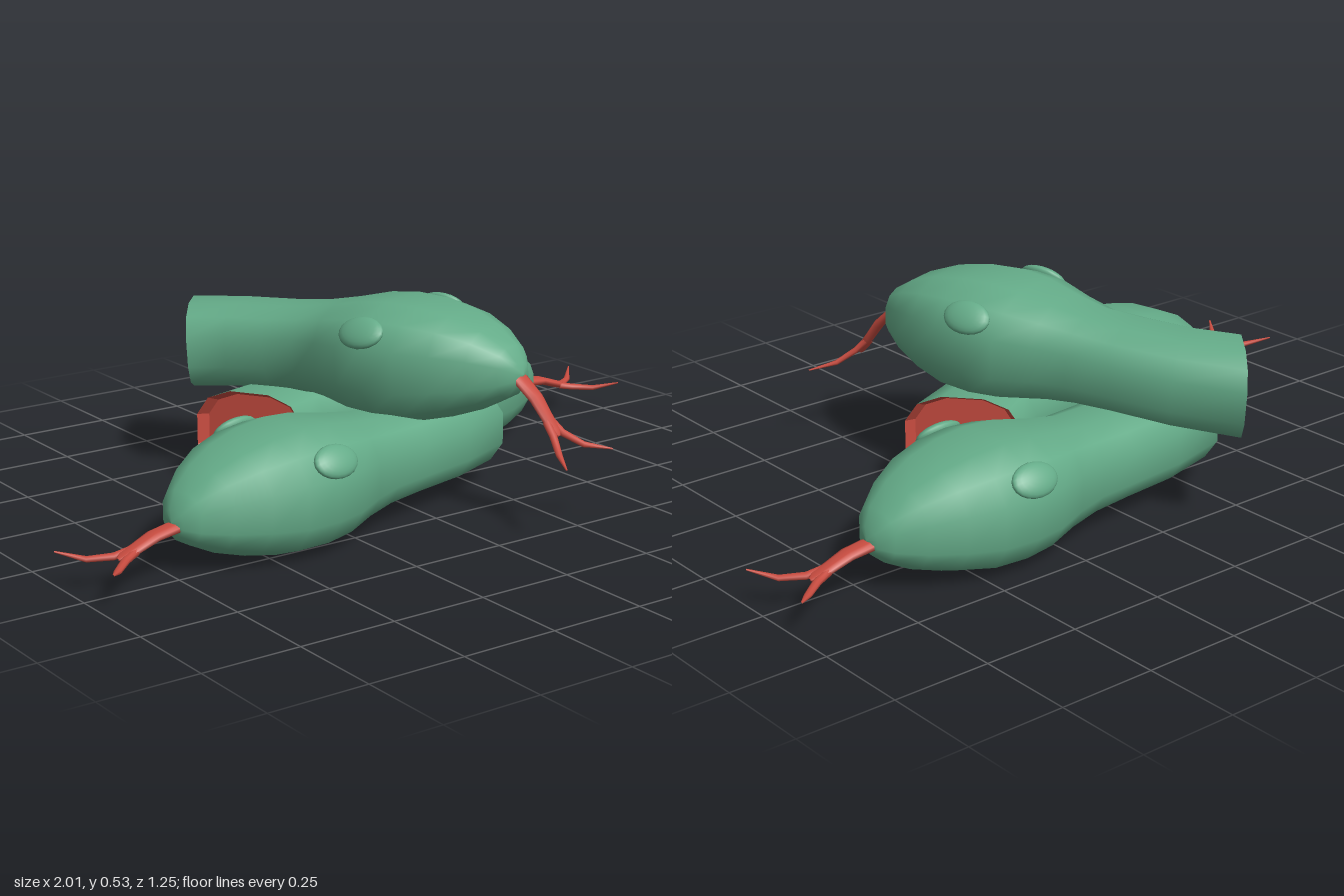
import * as THREE from 'three';

const green = new THREE.MeshStandardMaterial({ color: 0x64ab88 });
green.name = 'snakeGreen';
const red = new THREE.MeshStandardMaterial({ color: 0xc84c40 });
red.name = 'fleshRed';

// Skins cross-sections [x, z, halfWidth, top, bottom, turn] listed along the body
function loft(sections, sides, power) {
  const pos = [], idx = [];
  const bulge = (c) => Math.sign(c) * Math.pow(Math.abs(c), power);
  for (const [x, z, w, top, bottom, turn = 0] of sections) {
    for (let j = 0; j < sides; j++) {
      const t = ((j + 0.5) / sides) * Math.PI * 2;
      const s = w * bulge(Math.cos(t));
      const y = (top + bottom) / 2 + ((top - bottom) / 2) * bulge(Math.sin(t));
      pos.push(x + s * Math.sin(turn), y, z + s * Math.cos(turn));
    }
  }
  for (let i = 0; i < sections.length - 1; i++) {
    for (let j = 0; j < sides; j++) {
      const k = (j + 1) % sides;
      const a = i * sides + j, b = i * sides + k, c = b + sides, d = a + sides;
      idx.push(a, d, c, a, c, b);
    }
  }
  const geo = new THREE.BufferGeometry();
  geo.setAttribute('position', new THREE.Float32BufferAttribute(pos, 3));
  geo.setIndex(idx);
  geo.computeVertexNormals();
  return geo;
}

function part(name, geo, material) {
  const mesh = new THREE.Mesh(geo, material);
  mesh.name = name;
  return mesh;
}

// Neck end to snout tip, with the neck turning to the animal's right
const BODY = [
  [-0.637, 0.071, 0.153, 0.27, 0.04, 0.57],
  [-0.5, 0.028, 0.142, 0.27, 0.043, 0.3],
  [-0.36, 0.012, 0.14, 0.27, 0.045, 0.1],
  [-0.26, 0, 0.136, 0.275, 0.04],
  [-0.17, 0, 0.162, 0.288, 0.03],
  [-0.08, 0, 0.197, 0.305, 0.013],
  [0, 0, 0.205, 0.31, 0.005],
  [0.09, 0, 0.195, 0.302, 0.006],
  [0.18, 0, 0.165, 0.282, 0.024],
  [0.26, 0, 0.12, 0.248, 0.048],
  [0.32, 0, 0.072, 0.205, 0.078],
  [0.345, 0, 0.035, 0.165, 0.105],
  [0.352, 0, 0.001, 0.136, 0.134],
];

// Shallow recessed cut face of the neck
const CUT = [
  [-0.612, 0.055, 0.001, 0.156, 0.154, 0.57],
  [-0.612, 0.055, 0.132, 0.255, 0.056, 0.57],
  [-0.637, 0.071, 0.153, 0.27, 0.04, 0.57],
];

const STEM = [
  [-0.03, 0, 0.028, 0.015, -0.012],
  [0.06, 0, 0.026, 0.003, -0.02],
  [0.11, 0, 0.022, -0.014, -0.036],
  [0.15, 0, 0.022, -0.028, -0.046],
  [0.165, 0, 0.004, -0.036, -0.042],
];

const PRONG = [
  [0.12, 0.01, 0.011, -0.02, -0.04, -0.2],
  [0.16, 0.022, 0.011, -0.03, -0.047, -0.45],
  [0.21, 0.058, 0.009, -0.035, -0.049, -0.75],
  [0.262, 0.11, 0.002, -0.022, -0.026, -0.75],
];

function makeTongue(pitch) {
  const tongue = new THREE.Group();
  tongue.name = 'tongue';
  tongue.add(part('tongueStem', loft(STEM, 8, 0.9), red));
  for (const side of [1, -1]) {
    const path = PRONG.map(([x, z, w, t, b, a]) => [x, z * side, w, t, b, a * side]);
    tongue.add(part(side > 0 ? 'rightProng' : 'leftProng', loft(path, 8, 0.9), red));
  }
  tongue.position.set(0.345, 0.125, 0);
  tongue.rotation.z = pitch;
  return tongue;
}

function makeSnake(name, [x, y, z], turn, pitch, tonguePitch) {
  const snake = new THREE.Group();
  snake.name = name;
  snake.add(part('headAndNeck', loft(BODY, 12, 0.77), green));

  const cut = loft(CUT, 12, 0.77).toNonIndexed();
  cut.computeVertexNormals();
  snake.add(part('neckCut', cut, red));

  // Flattened eyes lying on the upper cheeks
  for (const side of [1, -1]) {
    const eye = part(side > 0 ? 'rightEye' : 'leftEye', new THREE.SphereGeometry(1, 20, 12), green);
    eye.scale.set(0.065, 0.02, 0.044);
    eye.position.set(0, 0.25, 0.183 * side);
    eye.rotation.x = 0.9 * side;
    snake.add(eye);
  }
  snake.add(makeTongue(tonguePitch));

  snake.position.set(x, y, z);
  snake.rotation.set(0, turn, pitch);
  return snake;
}

export function createModel() {
  const model = new THREE.Group();
  model.name = 'threeSnakeHeads';
  model.add(
    makeSnake('leftSnake', [0.39, 0, -0.295], 0, 0, 0),
    makeSnake('rightSnake', [-0.395, 0, 0.16], Math.PI + 0.14, 0, 0),
    makeSnake('topSnake', [0.045, 0.23, 0.07], -1.246, 0.065, -0.68),
  );
  return model;
}
